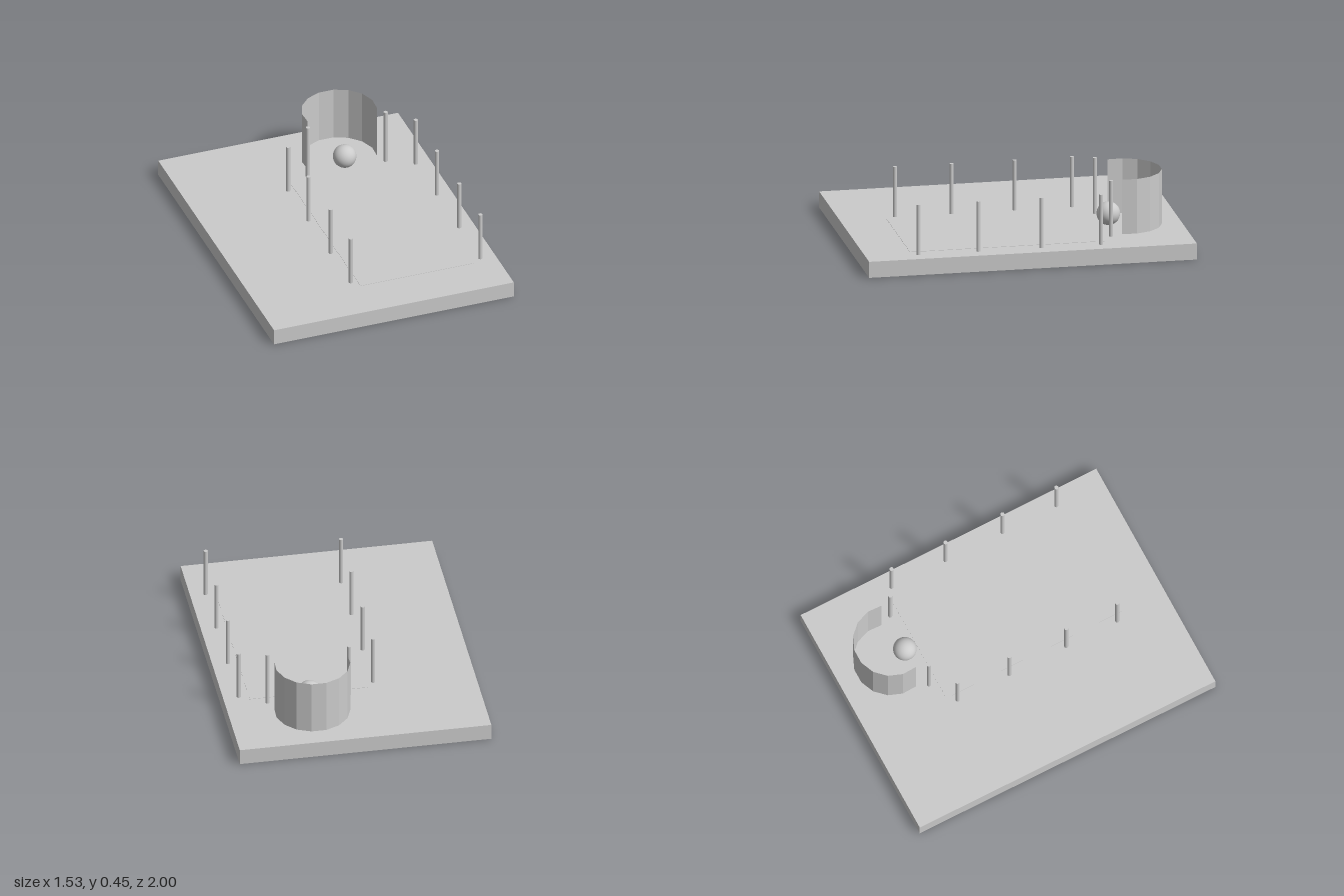
import * as THREE from 'three';

export function createModel() {
  const group = new THREE.Group();
  const material = new THREE.MeshStandardMaterial({ color: 0xcccccc });
  const flat = new THREE.MeshStandardMaterial({ color: 0xcccccc, flatShading: true, side: THREE.DoubleSide });
  const top = 0.1; // upper face of the base

  const add = (name, geometry, x, y, z, mat = material) => {
    const mesh = new THREE.Mesh(geometry, mat);
    mesh.name = name;
    mesh.position.set(x, y, z);
    group.add(mesh);
    return mesh;
  };

  // Base slab and the barely raised field panel
  add('base', new THREE.BoxGeometry(1.53, top, 2), 0, top / 2, 0);
  add('fieldPanel', new THREE.BoxGeometry(0.72, 0.004, 1.195), 0.25, top, 0.1225);

  // Curved thin wall, open towards the front
  const gap = 1.327;
  const wall = new THREE.CylinderGeometry(0.2275, 0.2275, 0.34, 9, 1, true, gap, 2 * Math.PI - 2 * gap);
  add('curvedWall', wall, 0.262, top + 0.17, -0.655, flat);

  // Ball resting on the base
  add('ball', new THREE.SphereGeometry(0.071, 32, 20), 0.262, top + 0.07, -0.56);

  // Posts: [x, z, height]
  const posts = [
    [-0.15, -0.42, 0.312], [-0.15, -0.07, 0.312], [-0.15, 0.315, 0.312], [-0.15, 0.66, 0.312],
    [0.67, -0.435, 0.312], [0.67, -0.07, 0.312], [0.67, 0.315, 0.312], [0.67, 0.68, 0.312],
    [0.015, -0.527, 0.348], [0.512, -0.527, 0.348],
  ];
  for (const [x, z, h] of posts) {
    add('post', new THREE.CylinderGeometry(0.0125, 0.0125, h, 16), x, top + h / 2, z);
  }
  return group;
}
